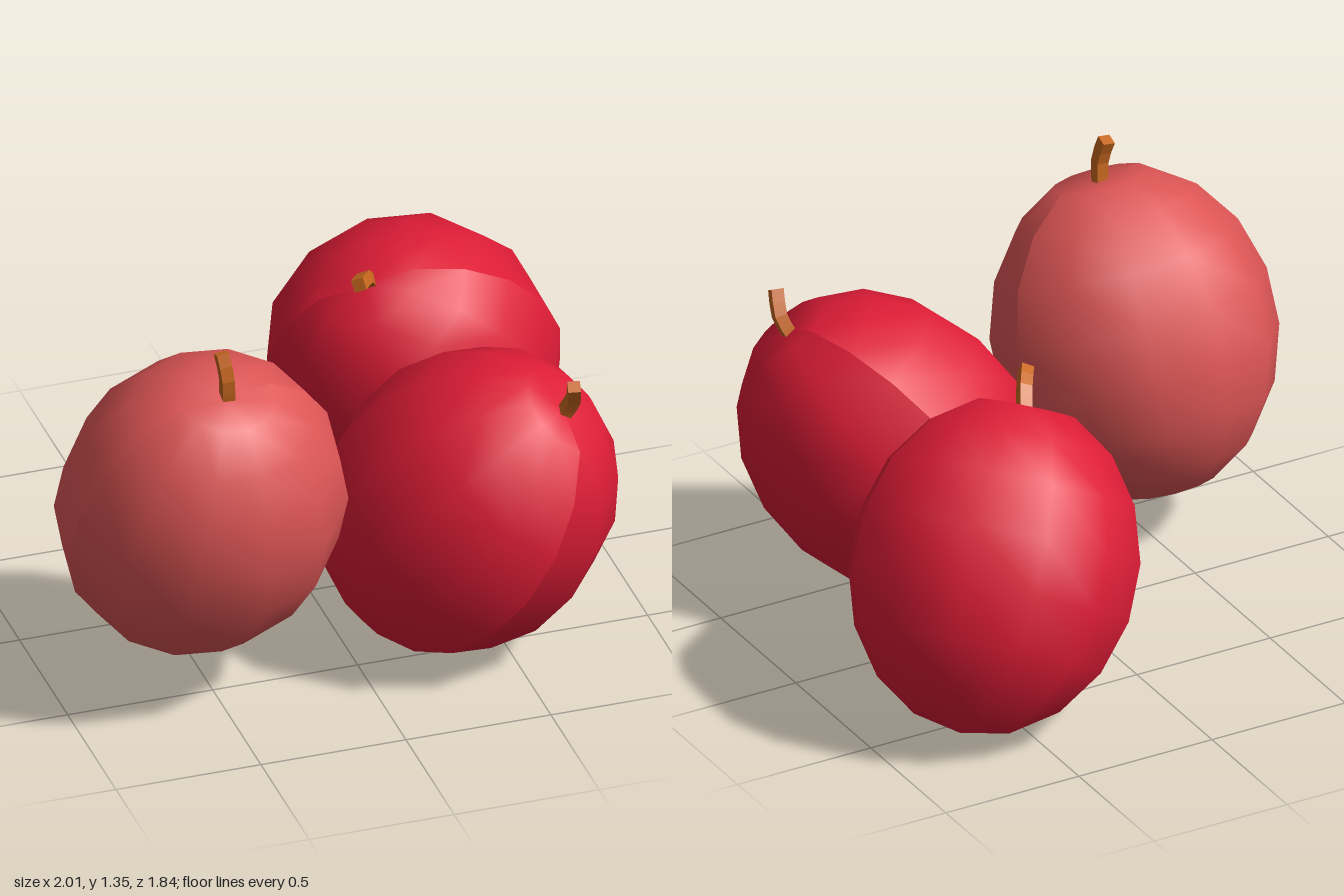
import * as THREE from 'three';
import { mergeVertices } from 'three/addons/utils/BufferGeometryUtils.js';

const V = (x, y, z) => new THREE.Vector3(x, y, z);

// Half of a plum: the cut edges stay unwelded so the seam reads as a crease.
function halfPlum() {
  const g = new THREE.SphereGeometry(1, 6, 9, 0, Math.PI);
  g.deleteAttribute('normal');
  g.deleteAttribute('uv');
  const p = g.attributes.position;
  for (let i = 0; i < p.count; i++) {
    if (p.getY(i) > 0.99) p.setY(i, 0.93); // shallow dimple under the stem
  }
  g.scale(0.488, 0.56, 0.455);
  const welded = mergeVertices(g, 1e-4);
  welded.computeVertexNormals();
  return welded;
}

// Short, square, bent stem with closed ends.
function stem(points, material) {
  const w = 0.021;
  const section = new THREE.Shape([
    new THREE.Vector2(-w, -w), new THREE.Vector2(w, -w),
    new THREE.Vector2(w, w), new THREE.Vector2(-w, w),
  ]);
  const path = new THREE.CatmullRomCurve3(points);
  const mesh = new THREE.Mesh(
    new THREE.ExtrudeGeometry(section, { steps: 4, bevelEnabled: false, extrudePath: path }),
    material);
  mesh.name = 'stem';
  return mesh;
}

export function createModel() {
  const model = new THREE.Group();
  model.name = 'plums';
  const red = new THREE.MeshStandardMaterial({ color: 0xdd1c36 });
  const pink = new THREE.MeshStandardMaterial({ color: 0xdd5555 });
  const bark = new THREE.MeshStandardMaterial({ color: 0xc8681f, flatShading: true });
  const half = halfPlum();

  // axis points to the stem end, seam points sideways within the crease plane
  const plums = [
    {
      name: 'rightPlum', material: pink, center: V(-0.52, 0.7, 0.44),
      axis: V(0.06, 0.94, 0.33), seam: V(1, 0, -0.2),
      stem: [V(-0.485, 1.17, 0.605), V(-0.49, 1.27, 0.615), V(-0.5, 1.35, 0.59)],
    },
    {
      name: 'frontPlum', material: red, center: V(0.4, 0.53, 0.435),
      axis: V(0.52, 0.77, 0.38), seam: V(0, -0.44, 0.9),
      stem: [V(0.66, 0.91, 0.625), V(0.69, 0.98, 0.655), V(0.68, 1.06, 0.7)],
    },
    {
      name: 'backPlum', material: red, center: V(0.51, 0.54, -0.455),
      axis: V(-0.43, 0.83, 0.36), seam: V(0.89, 0.34, 0.28),
      stem: [V(0.3, 0.97, -0.28), V(0.265, 1.03, -0.22), V(0.22, 1.05, -0.15)],
    },
  ];

  for (const d of plums) {
    const plum = new THREE.Group();
    plum.name = d.name;

    // body: two halves meeting at the seam
    const body = new THREE.Group();
    body.name = 'body';
    const y = d.axis.clone().normalize();
    const z = d.seam.clone().cross(y).normalize();
    const x = y.clone().cross(z);
    body.quaternion.setFromRotationMatrix(new THREE.Matrix4().makeBasis(x, y, z));
    body.position.copy(d.center);
    for (let i = 0; i < 2; i++) {
      const m = new THREE.Mesh(half, d.material);
      m.name = i ? 'bodyHalfBack' : 'bodyHalfFront';
      m.rotation.y = i * Math.PI;
      body.add(m);
    }

    plum.add(body, stem(d.stem, bark));
    model.add(plum);
  }
  return model;
}
